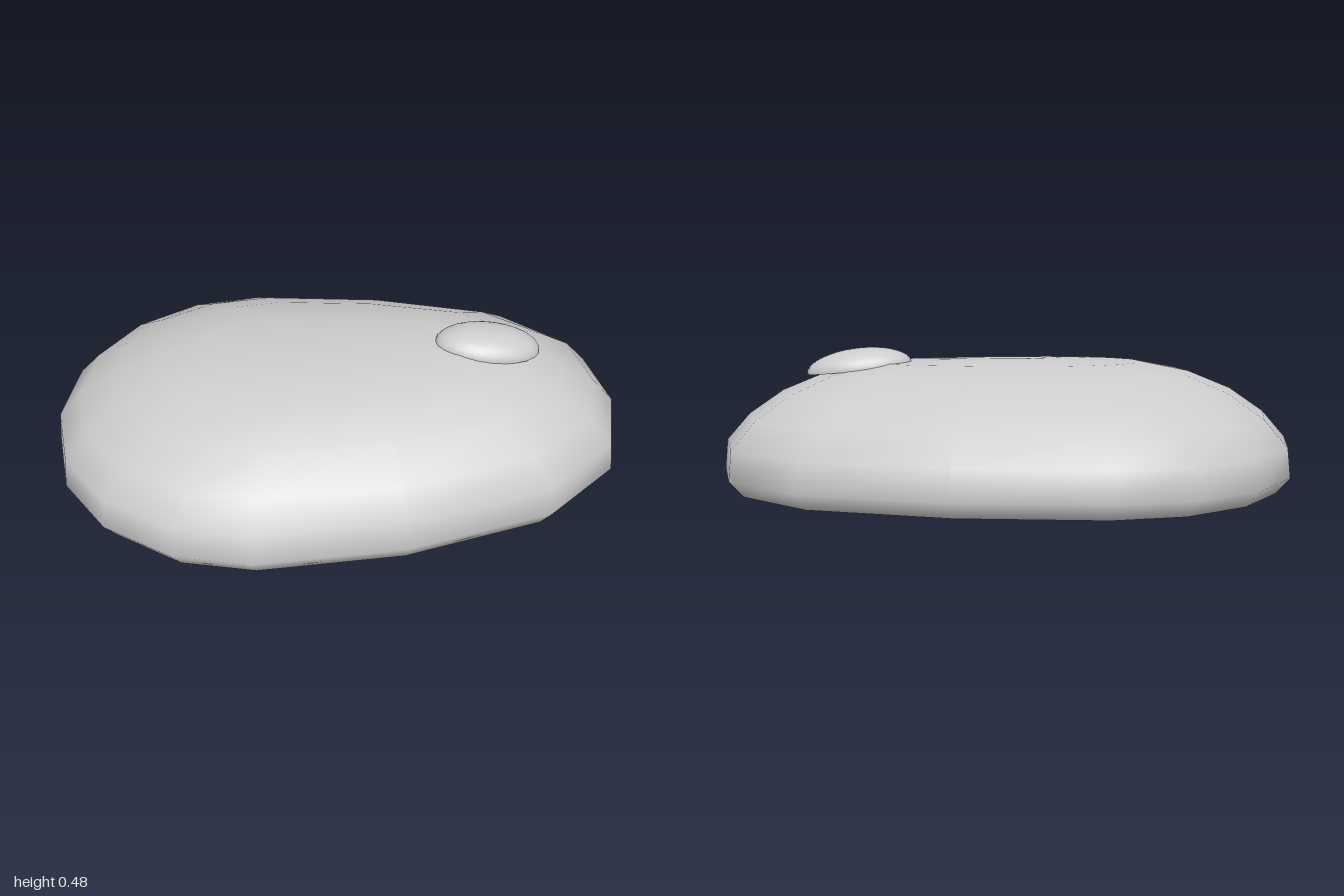
import * as THREE from 'three';

// Half of the egg-shaped plan outline (x, z), from the nose to the tail
const HALF = [
  [1, 0], [0.945, 0.265], [0.7, 0.49], [0.205, 0.64], [-0.31, 0.69],
  [-0.57, 0.64], [-0.8, 0.49], [-0.95, 0.27], [-1, 0],
];

// Rings of the shell: height, length scale, width scale
const RINGS = [
  [0, 0.55, 0.55], // rim of the opening underneath
  [0, 0.95, 0.957],
  [0.055, 1, 1],
  [0.158, 0.99, 0.98],
  [0.25, 0.91, 0.865],
  [0.333, 0.79, 0.67],
  [0.395, 0.64, 0.48],
  [0.43, 0.47, 0.26],
];

function shellGeometry() {
  const mirrored = HALF.slice(1, -1).reverse().map(([x, z]) => [x, -z]);
  const outline = [...HALF, ...mirrored];
  const n = outline.length;
  const positions = [];
  const index = [];
  for (const [y, sx, sz] of RINGS) {
    for (const [x, z] of outline) positions.push(x * sx, y, z * sz);
  }
  for (let i = 0; i < RINGS.length - 1; i++) {
    for (let j = 0; j < n; j++) {
      const k = (j + 1) % n;
      const a = i * n + j, b = i * n + k;
      index.push(a, a + n, b, b, a + n, b + n);
    }
  }
  // Close the crown with a fan
  const apex = RINGS.length * n;
  const last = apex - n;
  positions.push(-0.05, 0.44, 0);
  for (let j = 0; j < n; j++) index.push(last + j, apex, last + ((j + 1) % n));

  const geometry = new THREE.BufferGeometry();
  geometry.setAttribute('position', new THREE.Float32BufferAttribute(positions, 3));
  geometry.setIndex(index);
  geometry.computeVertexNormals();
  return geometry;
}

export function createModel() {
  const group = new THREE.Group();
  group.name = 'computerMouse';
  const material = new THREE.MeshStandardMaterial({ color: 0xcccccc, side: THREE.DoubleSide });

  // Hollow body, open in the middle of its base
  const body = new THREE.Mesh(shellGeometry(), material);
  body.name = 'body';
  group.add(body);

  // Scroll wheel: a stretched dome tilted with the slope of the nose
  const wheel = new THREE.Mesh(
    new THREE.SphereGeometry(1, 24, 8, 0, Math.PI * 2, 0, Math.PI / 2), material);
  wheel.name = 'scrollWheel';
  wheel.scale.set(0.185, 0.07, 0.11);
  wheel.rotation.z = -0.115;
  wheel.position.set(0.522, 0.409, 0);
  group.add(wheel);

  return group;
}
